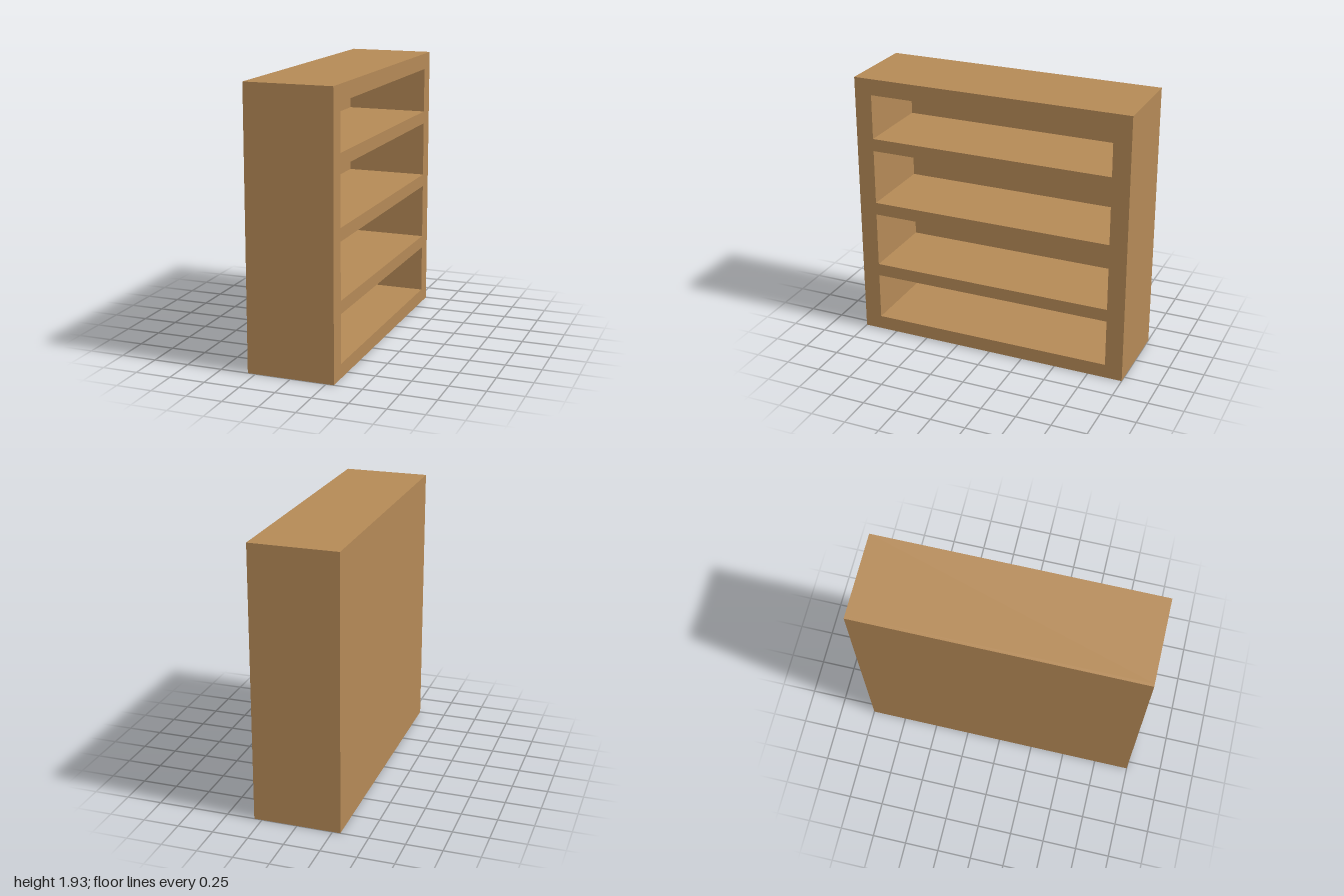
import * as THREE from 'three';

const HEIGHT = 1.935, LENGTH = 2, DEPTH = 0.61, BACK = 0.02;
const INNER = 0.875; // half length of each compartment
const COMPARTMENTS = [[0.10, 0.44], [0.53, 0.925], [1.015, 1.41], [1.50, 1.82]]; // floor, ceiling

export function createModel() {
  const group = new THREE.Group();
  group.name = 'bookcase';
  const wood = new THREE.MeshStandardMaterial({ color: 0xb48956 });

  // Frame and shelves: one slab pierced by the compartments
  const outline = new THREE.Shape([
    new THREE.Vector2(-LENGTH / 2, 0), new THREE.Vector2(LENGTH / 2, 0),
    new THREE.Vector2(LENGTH / 2, HEIGHT), new THREE.Vector2(-LENGTH / 2, HEIGHT),
  ]);
  for (const [low, high] of COMPARTMENTS) {
    outline.holes.push(new THREE.Path([
      new THREE.Vector2(-INNER, low), new THREE.Vector2(-INNER, high),
      new THREE.Vector2(INNER, high), new THREE.Vector2(INNER, low),
    ]));
  }
  const frameGeometry = new THREE.ExtrudeGeometry(outline, { depth: DEPTH - BACK, bevelEnabled: false });
  frameGeometry.rotateY(Math.PI / 2); // shelves open towards +x
  frameGeometry.translate(-DEPTH / 2 + BACK, 0, 0);
  const frame = new THREE.Mesh(frameGeometry, wood);
  frame.name = 'frameAndShelves';
  group.add(frame);

  // Thin back panel closing the compartments
  const back = new THREE.Mesh(new THREE.BoxGeometry(BACK, HEIGHT, LENGTH), wood);
  back.name = 'backPanel';
  back.position.set(-DEPTH / 2 + BACK / 2, HEIGHT / 2, 0);
  group.add(back);

  return group;
}
